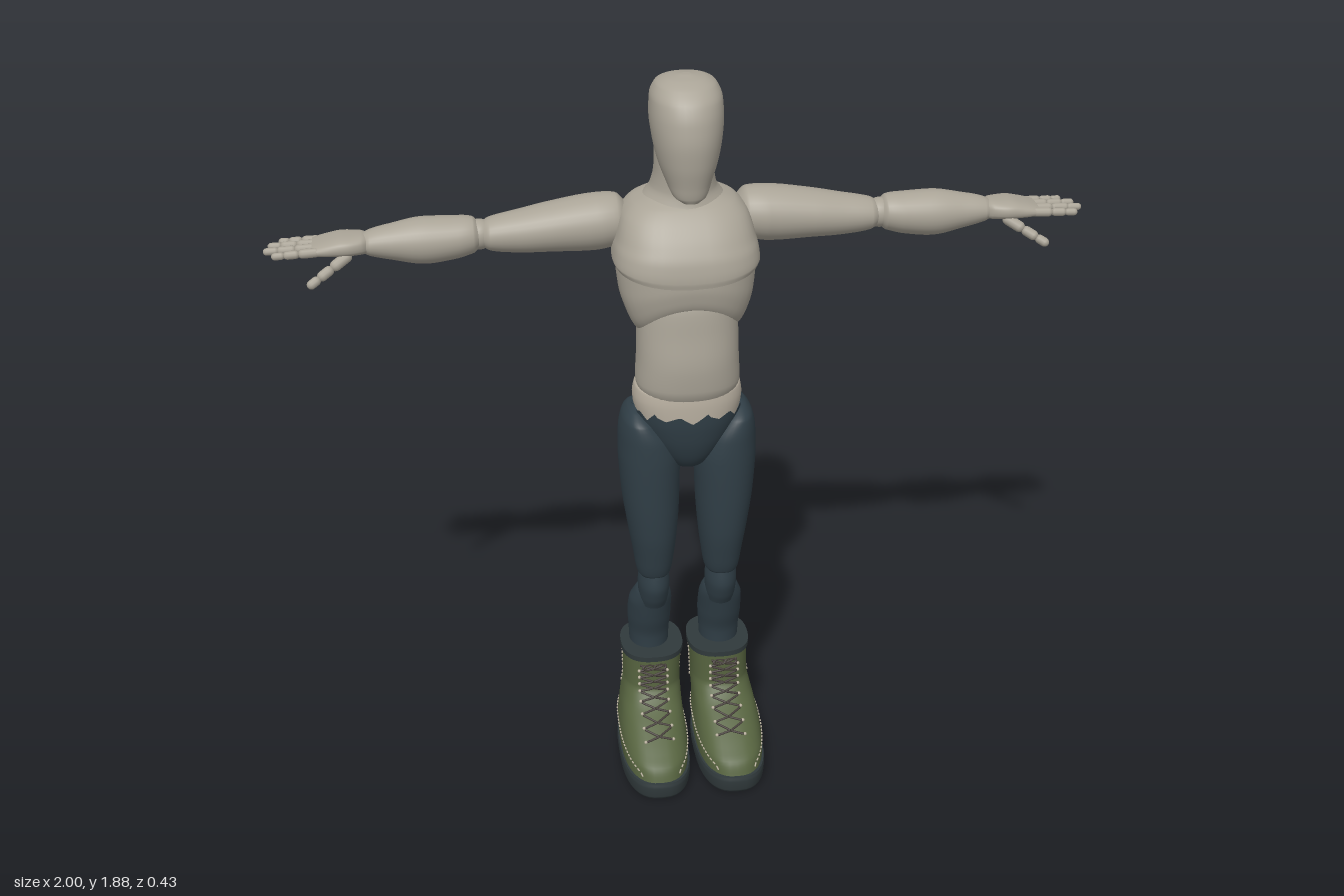
import * as THREE from 'three';
import { mergeGeometries, mergeVertices } from 'three/addons/utils/BufferGeometryUtils.js';

const mat = (name, color, side = THREE.FrontSide) => {
  const m = new THREE.MeshStandardMaterial({ color, side });
  m.name = name;
  return m;
};

// A section is [y, centre x, front z, back z, half width]; values between sections follow a monotone cubic.
function at(secs, y) {
  let i = 0;
  while (i < secs.length - 2 && y > secs[i + 1][0]) i++;
  const h = secs[i + 1][0] - secs[i][0];
  const t = THREE.MathUtils.clamp((y - secs[i][0]) / h, 0, 1);
  const rise = (j, k) => (secs[j + 1][k] - secs[j][k]) / (secs[j + 1][0] - secs[j][0]);
  const slope = (j, k) => {
    if (j === 0) return rise(0, k);
    if (j === secs.length - 1) return rise(j - 1, k);
    const a = rise(j - 1, k), b = rise(j, k);
    return a * b <= 0 ? 0 : (2 * a * b) / (a + b);
  };
  return [1, 2, 3, 4].map((k) => {
    const a = secs[i][k], b = secs[i + 1][k];
    return a + (b - a) * t * t * (3 - 2 * t) + h * (slope(i, k) * t * (1 - t) ** 2 + slope(i + 1, k) * t * t * (t - 1));
  });
}

// Point on a lofted surface at height y and angle a (0 = +x, quarter turn = front)
function surf(secs, y, a, n, off = 0) {
  const [cx, zf, zb, rx] = at(secs, y);
  const p = (v) => Math.sign(v) * Math.abs(v) ** (2 / n);
  return [cx + (rx + off) * p(Math.cos(a)), y, (zf + zb) / 2 + ((zf - zb) / 2 + off) * p(Math.sin(a))];
}

// Joins rows of points, each closed into a ring
function skinRows(rows) {
  const nu = rows[0].length, index = [];
  for (let j = 0; j < rows.length - 1; j++)
    for (let i = 0; i < nu; i++) {
      const k = (i + 1) % nu, a = j * nu + i, b = a + nu, c = j * nu + k, d = c + nu;
      index.push(a, b, c, c, b, d);
    }
  const g = new THREE.BufferGeometry();
  g.setAttribute('position', new THREE.Float32BufferAttribute(rows.flat(2), 3));
  g.setIndex(index);
  g.computeVertexNormals();
  return g;
}

function loft(secs, n = 2, warp = (p) => p, nu = 40, steps = 5) {
  const ring = (y) => Array.from({ length: nu }, (_, i) => warp(surf(secs, y, (i / nu) * Math.PI * 2, n)));
  const ys = [];
  secs.slice(0, -1).forEach((s, j) => {
    for (let k = 0; k < steps; k++) ys.push(s[0] + ((secs[j + 1][0] - s[0]) * k) / steps);
  });
  ys.push(secs.at(-1)[0]);
  const rows = ys.map(ring);
  const centre = (row) => {
    const c = [0, 1, 2].map((k) => row.reduce((s, p) => s + p[k], 0) / nu);
    return row.map(() => c);
  };
  const first = rows[0], last = rows.at(-1);
  return skinRows([centre(first), first, ...rows, last, centre(last)]);
}

// Loft along the arm; a section is [x, centre y, centre z, half height, half depth]
const armLoft = (secs, n = 2) =>
  loft(secs.map(([x, y, z, ry, rz]) => [x, -y, z + rz, z - rz, ry]), n, undefined, 28).rotateZ(-Math.PI / 2);

function mirrored(geo) {
  const g = geo.index ? geo.clone() : mergeVertices(geo);
  g.scale(-1, 1, 1);
  const ix = g.index.array;
  for (let i = 0; i < ix.length; i += 3) [ix[i + 1], ix[i + 2]] = [ix[i + 2], ix[i + 1]];
  return g;
}

const between = (a, b, r) => {
  const p = new THREE.Vector3(...a), q = new THREE.Vector3(...b), d = q.clone().sub(p);
  const g = new THREE.CapsuleGeometry(r, Math.max(d.length() - 2 * r, 0.001), 4, 10);
  g.applyQuaternion(new THREE.Quaternion().setFromUnitVectors(new THREE.Vector3(0, 1, 0), d.normalize()));
  return g.translate(...p.add(q).multiplyScalar(0.5).toArray());
};
const ball = (x, y, z, r) => new THREE.SphereGeometry(r, 20, 14).translate(x, y, z);

export function createModel() {
  const model = new THREE.Group();
  const skin = mat('warm grey body', 0xaaa497), hipSkin = mat('pale hip', 0xb9b0a1);
  const cloth = mat('dark blue cloth', 0x303e46, THREE.DoubleSide);
  const olive = mat('olive leather', 0x56633f), rubber = mat('dark rubber', 0x30393b, THREE.DoubleSide);
  const laceMat = mat('brown lace', 0x423b36), thread = mat('pale thread', 0xb3ab98), tread = mat('grey tread', 0x7c7972);
  const add = (name, geo, m, parent = model) => {
    const mesh = new THREE.Mesh(geo, m);
    mesh.name = name;
    parent.add(mesh);
  };
  const pair = (name, geo, m) => {
    add(name + 'Left', geo, m);
    add(name + 'Right', mirrored(geo), m);
  };

  // Head and neck
  add('head', loft([
    [1.598, 0, 0.05, 0, 0.022], [1.61, 0, 0.056, -0.03, 0.04], [1.64, 0, 0.062, -0.08, 0.054], [1.69, 0, 0.072, -0.13, 0.072],
    [1.74, 0, 0.076, -0.15, 0.082], [1.79, 0, 0.07, -0.162, 0.087], [1.83, 0, 0.055, -0.157, 0.085], [1.86, 0, 0.025, -0.135, 0.073],
    [1.875, 0, -0.005, -0.1, 0.05], [1.882, 0, -0.04, -0.06, 0.012]], 2.2), skin);
  add('neck', loft([
    [1.48, 0, 0.04, -0.2, 0.13], [1.53, 0, 0.02, -0.208, 0.13], [1.565, 0, -0.005, -0.198, 0.105],
    [1.6, 0, -0.012, -0.183, 0.08], [1.65, 0, -0.01, -0.16, 0.072], [1.73, 0, -0.01, -0.142, 0.072]]), skin);

  // Chest plate over an arched rib cage, then the belly
  add('upperChest', loft([
    [1.395, 0, 0.082, -0.195, 0.172], [1.41, 0, 0.084, -0.203, 0.178], [1.45, 0, 0.078, -0.21, 0.175], [1.49, 0, 0.06, -0.213, 0.167],
    [1.53, 0, 0.032, -0.212, 0.155], [1.56, 0, 0.002, -0.2, 0.13], [1.58, 0, -0.03, -0.18, 0.085]], 2.7,
  ([x, y, z]) => [x, y + 0.02 * (x / 0.17) ** 2 * Math.max(0, (1.48 - y) / 0.08), z]), skin);
  add('ribCage', loft([
    [1.235, 0, 0.055, -0.125, 0.1], [1.25, 0, 0.064, -0.138, 0.122], [1.3, 0, 0.072, -0.165, 0.148],
    [1.36, 0, 0.076, -0.188, 0.165], [1.42, 0, 0.076, -0.2, 0.17], [1.46, 0, 0.05, -0.18, 0.15]], 2.4,
  ([x, y, z]) => [x, y + 0.09 * Math.max(0, 1 - (x / 0.15) ** 2) * THREE.MathUtils.smoothstep(z, -0.05, 0.06) *
    THREE.MathUtils.clamp((1.42 - y) / 0.18, 0, 1), z]), skin);
  add('belly', loft([
    [1.075, 0, 0.05, -0.12, 0.1], [1.09, 0, 0.066, -0.13, 0.12], [1.12, 0, 0.076, -0.136, 0.129], [1.18, 0, 0.08, -0.136, 0.126],
    [1.26, 0, 0.072, -0.132, 0.124], [1.33, 0, 0.064, -0.138, 0.12], [1.37, 0, 0.04, -0.12, 0.1]], 2.3), skin);

  // Pelvis with a torn cloth edge around it
  const pelvis = [
    [0.868, 0, -0.02, -0.07, 0.02], [0.89, 0, 0.02, -0.12, 0.045], [0.93, 0, 0.045, -0.15, 0.08], [0.98, 0, 0.06, -0.165, 0.112],
    [1.03, 0, 0.067, -0.16, 0.13], [1.07, 0, 0.068, -0.15, 0.136], [1.1, 0, 0.066, -0.14, 0.132], [1.115, 0, 0.05, -0.13, 0.12]];
  add('pelvis', loft(pelvis, 2.3), hipSkin);
  const cols = 112;
  const tornEdge = (i) => {
    const a = (i / cols) * Math.PI * 2, back = Math.max(0, -Math.sin(a));
    const tooth = Math.abs((i % 8) - 4) / 4, jitter = Math.sin(Math.floor(i / 8) * 2.7);
    return 1.043 - 0.035 * back + (tooth - 0.5) * (0.018 + 0.03 * back) * (1 + 0.4 * jitter);
  };
  add('hipCloth', skinRows(Array.from({ length: 25 }, (_, j) => Array.from({ length: cols }, (_, i) =>
    surf(pelvis, THREE.MathUtils.lerp(0.868, tornEdge(i), j / 24), (i / cols) * Math.PI * 2, 2.3, 0.004)))), cloth);

  // Legs
  pair('thigh', loft([
    [0.555, 0.088, 0.01, -0.08, 0.035], [0.57, 0.088, 0.023, -0.092, 0.044], [0.62, 0.088, 0.036, -0.102, 0.052], [0.7, 0.09, 0.05, -0.117, 0.063],
    [0.8, 0.094, 0.056, -0.13, 0.073], [0.9, 0.097, 0.058, -0.138, 0.077], [0.96, 0.104, 0.056, -0.142, 0.069], [1.01, 0.12, 0.045, -0.13, 0.045],
    [1.035, 0.128, 0.01, -0.1, 0.022], [1.045, 0.13, -0.03, -0.06, 0.005]], 2.2), cloth);
  pair('knee', loft([
    [0.46, 0.088, 0, -0.09, 0.034], [0.49, 0.088, 0.015, -0.097, 0.039], [0.53, 0.088, 0.025, -0.094, 0.041], [0.58, 0.088, 0.018, -0.085, 0.036]]), cloth);
  pair('calf', loft([
    [0.26, 0.094, -0.045, -0.162, 0.05], [0.34, 0.094, -0.042, -0.166, 0.053], [0.4, 0.094, -0.025, -0.162, 0.057],
    [0.45, 0.093, -0.013, -0.135, 0.056], [0.49, 0.09, -0.004, -0.107, 0.046], [0.515, 0.09, -0.01, -0.085, 0.03]]), cloth);

  // Arms
  pair('upperArm', armLoft([
    [0.13, 1.5, -0.13, 0.035, 0.045], [0.16, 1.502, -0.13, 0.064, 0.067], [0.21, 1.499, -0.128, 0.069, 0.072], [0.32, 1.493, -0.125, 0.06, 0.066],
    [0.4, 1.487, -0.122, 0.051, 0.056], [0.465, 1.485, -0.12, 0.04, 0.046], [0.485, 1.485, -0.12, 0.028, 0.032]]), skin);
  pair('elbow', ball(0.49, 1.485, -0.12, 0.037), skin);
  pair('forearm', armLoft([
    [0.492, 1.485, -0.12, 0.032, 0.036], [0.505, 1.485, -0.12, 0.044, 0.047], [0.55, 1.481, -0.12, 0.052, 0.055], [0.62, 1.478, -0.12, 0.057, 0.058],
    [0.7, 1.48, -0.117, 0.043, 0.047], [0.75, 1.481, -0.115, 0.031, 0.038], [0.765, 1.481, -0.115, 0.024, 0.03]]), skin);
  pair('palm', armLoft([
    [0.75, 1.481, -0.115, 0.02, 0.026], [0.77, 1.483, -0.115, 0.024, 0.042], [0.81, 1.483, -0.116, 0.024, 0.053],
    [0.85, 1.48, -0.118, 0.019, 0.053], [0.885, 1.477, -0.118, 0.012, 0.048]], 2.6), skin);

  // Jointed fingers and thumb
  const chain = (a, b, r) => [0, 1, 2].map((i) => {
    const p = (t) => a.map((v, k) => v + (b[k] - v) * t);
    return between(p([0, 0.42, 0.72][i]), p([0.46, 0.76, 1][i]), r - i * 0.0012);
  });
  const digits = [[0.965, -0.165], [0.99, -0.138], [1, -0.106], [0.98, -0.073]].flatMap(([tip, z]) =>
    chain([0.865, 1.478, -0.118 + (z + 0.118) * 0.85], [tip, 1.475, z], 0.0115));
  digits.push(...chain([0.795, 1.468, -0.085], [0.9, 1.408, -0.035], 0.014));
  pair('fingers', mergeGeometries(digits), skin);

  // Boot upper, rim and sole
  const boot = [
    [0.045, 0.1, 0.208, -0.168, 0.086], [0.08, 0.1, 0.192, -0.17, 0.088], [0.105, 0.1, 0.157, -0.17, 0.087], [0.145, 0.098, 0.09, -0.17, 0.082],
    [0.18, 0.094, 0.03, -0.17, 0.078], [0.215, 0.091, 0.002, -0.172, 0.075], [0.305, 0.089, 0, -0.178, 0.077]];
  pair('boot', loft(boot, 2.5), olive);
  pair('bootRim', loft([[0.297, 0.089, 0.006, -0.184, 0.082], [0.311, 0.089, 0.006, -0.184, 0.082]], 2.5), rubber);
  pair('sole', loft([
    [0.003, 0.1, 0.206, -0.165, 0.086], [0.012, 0.1, 0.212, -0.17, 0.09], [0.04, 0.1, 0.215, -0.172, 0.092], [0.052, 0.1, 0.212, -0.17, 0.09]], 2.6), rubber);
  pair('treadPlate', loft([[0.001, 0.1, 0.198, -0.158, 0.079], [0.004, 0.1, 0.198, -0.158, 0.079]], 2.6), tread);
  pair('treadGrooves', mergeGeometries(Array.from({ length: 13 }, (_, i) =>
    new THREE.BoxGeometry(0.1, 0.002, 0.006).translate(0.1, 0.001, -0.13 + i * 0.025))), rubber);
  pair('pullLoop', new THREE.TorusGeometry(0.015, 0.005, 8, 20).scale(1, 2, 1).translate(0.089, 0.312, -0.187), rubber);

  // Details that follow the boot surface: side = 1 outer, -1 inner
  const sideX = (y, z, side, off = 0.002) => {
    const [cx, zf, zb, rx] = at(boot, y);
    const u = Math.min(1, Math.abs(z - (zf + zb) / 2) / ((zf - zb) / 2));
    return cx + side * (rx * (1 - u ** 2.5) ** 0.4 + off);
  };
  const frontZ = (y, x, off = 0.003) => {
    const [cx, zf, zb, rx] = at(boot, y);
    return (zf + zb) / 2 + ((zf - zb) / 2) * (1 - Math.min(1, Math.abs(x - cx) / rx) ** 2.5) ** 0.4 + off;
  };
  const stitches = [], patches = [], laces = [], eyelets = [];
  for (const side of [1, -1]) {
    const run = (path, count) => {
      const p = (t) => {
        const [y, z] = path(t);
        return [sideX(y, z, side), y, z];
      };
      for (let i = 0; i < count; i++) stitches.push(between(p(i / count), p((i + 0.65) / count), 0.002));
    };
    run((t) => [0.062 + 0.055 * Math.sqrt(t), 0.185 - 0.32 * t], 26);
    run((t) => [0.185 + 0.11 * t, -0.088], 9);
    const patch = new THREE.CircleGeometry(1, 28), pos = patch.attributes.position;
    for (let i = 0; i < pos.count; i++) {
      const y = 0.143 + pos.getY(i) * 0.034, z = -0.132 + pos.getX(i) * 0.024;
      pos.setXYZ(i, sideX(y, z, side), y, z);
    }
    patch.computeVertexNormals();
    patches.push(patch);
  }
  pair('stitching', mergeGeometries(stitches), thread);
  pair('anklePatches', mergeGeometries(patches), rubber);

  // Criss-cross laces with eyelets and a bow
  const spot = (y, dx) => [0.095 + dx, y, frontZ(y, 0.095 + dx)];
  for (let i = 0; i < 8; i++) {
    const y = 0.125 + i * 0.02;
    for (const s of [1, -1]) {
      eyelets.push(ball(...spot(y, s * 0.037), 0.0045));
      const mid = spot(y + 0.008, 0);
      laces.push(between(spot(y, s * 0.035), mid, 0.003), between(mid, spot(y + 0.018, -s * 0.035), 0.003));
    }
  }
  for (const s of [1, -1])
    laces.push(new THREE.TorusGeometry(0.01, 0.0025, 6, 16).scale(1.5, 0.7, 1).rotateX(-0.5).translate(0.094 + s * 0.015, 0.288, 0.018));
  pair('laces', mergeGeometries(laces), laceMat);
  pair('eyelets', mergeGeometries(eyelets), thread);

  return model;
}
